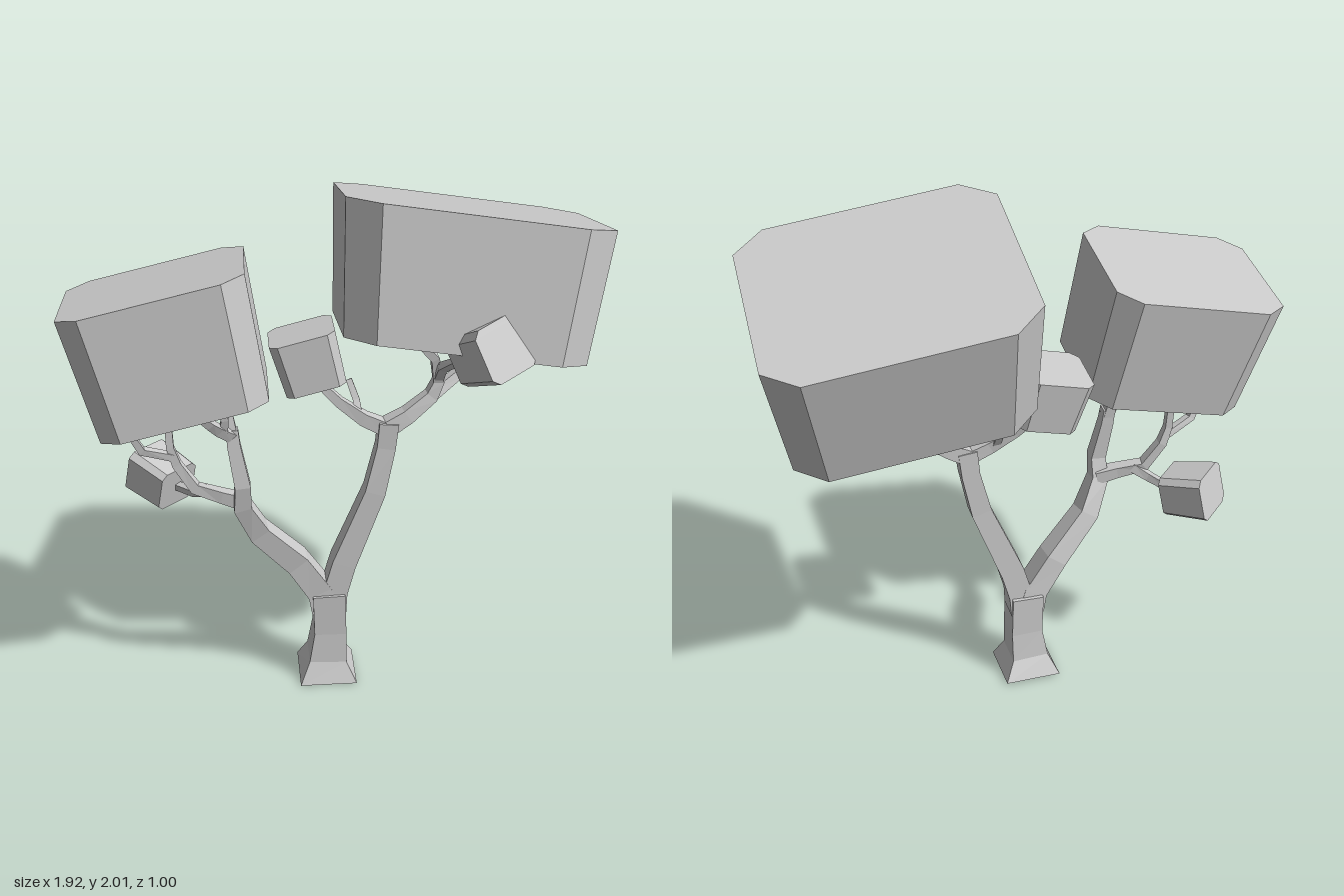
import * as THREE from 'three';

const V = (a) => new THREE.Vector3(a[0], a[1], a[2]);
const material = new THREE.MeshStandardMaterial({ color: 0xcccccc, flatShading: true });

// Closed, faceted skin over a list of rings (counter-clockwise seen from the last ring)
function loft(name, rings) {
  const n = rings[0].length;
  const points = [];
  const tri = (a, b, c) => points.push(a, b, c);
  for (let k = 0; k < rings.length - 1; k++) {
    const lo = rings[k], hi = rings[k + 1];
    for (let i = 0; i < n; i++) {
      const j = (i + 1) % n;
      tri(lo[i], lo[j], hi[j]);
      tri(lo[i], hi[j], hi[i]);
    }
  }
  const first = rings[0], last = rings[rings.length - 1];
  for (let i = 1; i < n - 1; i++) {
    tri(first[0], first[i + 1], first[i]);
    tri(last[0], last[i], last[i + 1]);
  }
  const geometry = new THREE.BufferGeometry().setFromPoints(points);
  geometry.computeVertexNormals();
  const mesh = new THREE.Mesh(geometry, material);
  mesh.name = name;
  return mesh;
}

// Leaf block: tapered box with cut upright edges, from bottom centre to top centre.
// right is the half-width vector of the top, depth its half-depth.
function leafBlock(name, bottom, top, right, depth, cut = 0.75, taper = 0.915) {
  const b = V(bottom), t = V(top), r = V(right);
  const front = r.clone().cross(t.clone().sub(b)).setLength(depth);
  const c = cut;
  const outline = [[1, -c], [c, -1], [-c, -1], [-1, -c], [-1, c], [-c, 1], [c, 1], [1, c]];
  const ring = (centre, s) => outline.map(([u, v]) =>
    centre.clone().addScaledVector(r, u * s).addScaledVector(front, v * s));
  return loft(name, [ring(b, taper), ring(t, 1)]);
}

// Four-sided branch through points [x, y, z, half width]
function branch(name, path) {
  const rings = path.map((p, i) => {
    const prev = V(path[Math.max(i - 1, 0)]);
    const next = V(path[Math.min(i + 1, path.length - 1)]);
    const t = next.sub(prev).normalize();
    const u = t.clone().cross(V([0, 0, 1])).normalize();
    const v = t.clone().cross(u);
    return [[1, 1], [-1, 1], [-1, -1], [1, -1]].map(([a, b]) =>
      V(p).addScaledVector(u, a * p[3]).addScaledVector(v, b * p[3]));
  });
  return loft(name, rings);
}

export function createModel() {
  const tree = new THREE.Group();
  tree.name = 'tree';

  // Trunk and the two main limbs
  const wood = new THREE.Group();
  wood.name = 'wood';
  wood.add(
    branch('trunk', [[-0.03, 0, 0.01, 0.11], [-0.03, 0.08, 0.015, 0.072], [-0.02, 0.2, 0.018, 0.062],
      [-0.025, 0.37, 0.02, 0.062]]),
    branch('leftLimb', [[-0.04, 0.3, 0.02, 0.052], [-0.06, 0.38, 0.022, 0.048], [-0.145, 0.51, 0.03, 0.045],
      [-0.29, 0.67, 0.07, 0.04], [-0.35, 0.8, 0.11, 0.033], [-0.347, 0.89, 0.125, 0.029],
      [-0.375, 1.05, 0.11, 0.024], [-0.38, 1.11, 0.105, 0.022]]),
    branch('rightLimb', [[-0.01, 0.3, 0.02, 0.052], [0.0, 0.38, 0.022, 0.047], [0.033, 0.5, 0.023, 0.046],
      [0.15, 0.8, 0.025, 0.039], [0.19, 0.98, 0.02, 0.035], [0.2, 1.08, 0.02, 0.036]]),

    // Left crown twigs
    branch('twig', [[-0.38, 1.08, 0.105, 0.021], [-0.393, 1.17, 0.09, 0.017], [-0.383, 1.31, 0.06, 0.014]]),
    branch('twig', [[-0.375, 1.08, 0.105, 0.02], [-0.43, 1.13, 0.15, 0.018], [-0.46, 1.17, 0.19, 0.015],
      [-0.52, 1.25, 0.24, 0.013]]),
    branch('twig', [[-0.41, 1.12, 0.14, 0.015], [-0.405, 1.17, 0.15, 0.014], [-0.43, 1.27, 0.16, 0.011]]),
    branch('sideBranch', [[-0.34, 0.81, 0.1, 0.027], [-0.42, 0.83, 0.085, 0.023], [-0.52, 0.855, 0.06, 0.02],
      [-0.585, 0.95, 0.05, 0.017], [-0.607, 1.02, 0.05, 0.014], [-0.615, 1.22, 0.04, 0.012]]),
    branch('twig', [[-0.595, 0.98, 0.05, 0.014], [-0.71, 1.025, 0.08, 0.014], [-0.79, 1.19, 0.11, 0.011]]),
    branch('twig', [[-0.48, 0.845, 0.065, 0.018], [-0.53, 0.82, 0.02, 0.015], [-0.59, 0.805, -0.06, 0.013]]),

    // Right crown twigs
    branch('innerBranch', [[0.2, 1.05, 0.02, 0.028], [0.11, 1.09, 0.01, 0.024], [0.02, 1.15, -0.015, 0.018],
      [-0.06, 1.225, -0.045, 0.014]]),
    branch('twig', [[0.09, 1.1, 0.0, 0.015], [0.085, 1.15, -0.03, 0.013], [0.06, 1.22, -0.06, 0.011]]),
    branch('outerBranch', [[0.2, 1.06, 0.02, 0.032], [0.27, 1.1, 0.015, 0.028], [0.36, 1.17, 0, 0.024],
      [0.385, 1.23, 0, 0.02], [0.365, 1.33, 0.03, 0.016], [0.26, 1.45, 0.06, 0.012]]),
    branch('twig', [[0.385, 1.24, 0, 0.018], [0.39, 1.31, 0.07, 0.016], [0.42, 1.37, 0.17, 0.013],
      [0.46, 1.43, 0.28, 0.012]]),
    branch('twig', [[0.36, 1.17, 0, 0.021], [0.48, 1.24, -0.06, 0.018], [0.59, 1.265, -0.11, 0.014],
      [0.64, 1.34, -0.15, 0.012]]),
    branch('twig', [[0.48, 1.235, -0.06, 0.014], [0.51, 1.28, -0.08, 0.013], [0.52, 1.37, -0.1, 0.01]])
  );
  tree.add(wood);

  // Block-shaped foliage
  const foliage = new THREE.Group();
  foliage.name = 'foliage';
  foliage.add(
    leafBlock('largeLeafBlock', [0.437, 1.401, 0.012], [0.489, 1.866, -0.083], [0.462, -0.065, 0.022], 0.414),
    leafBlock('leftLeafBlock', [-0.54, 1.22, 0.125], [-0.64, 1.668, 0.08], [0.32, 0.075, 0], 0.272),
    leafBlock('middleLeafBlock', [-0.065, 1.217, -0.045], [-0.117, 1.415, -0.058], [0.119, 0.03, 0], 0.12),
    leafBlock('lowLeafBlock', [-0.59, 0.805, -0.055], [-0.71, 0.845, -0.175], [-0.068, 0, 0.068], 0.088),
    leafBlock('frontLeafBlock', [0.46, 1.44, 0.27], [0.545, 1.52, 0.42], [0.085, 0.02, -0.058], 0.1)
  );
  tree.add(foliage);
  return tree;
}
